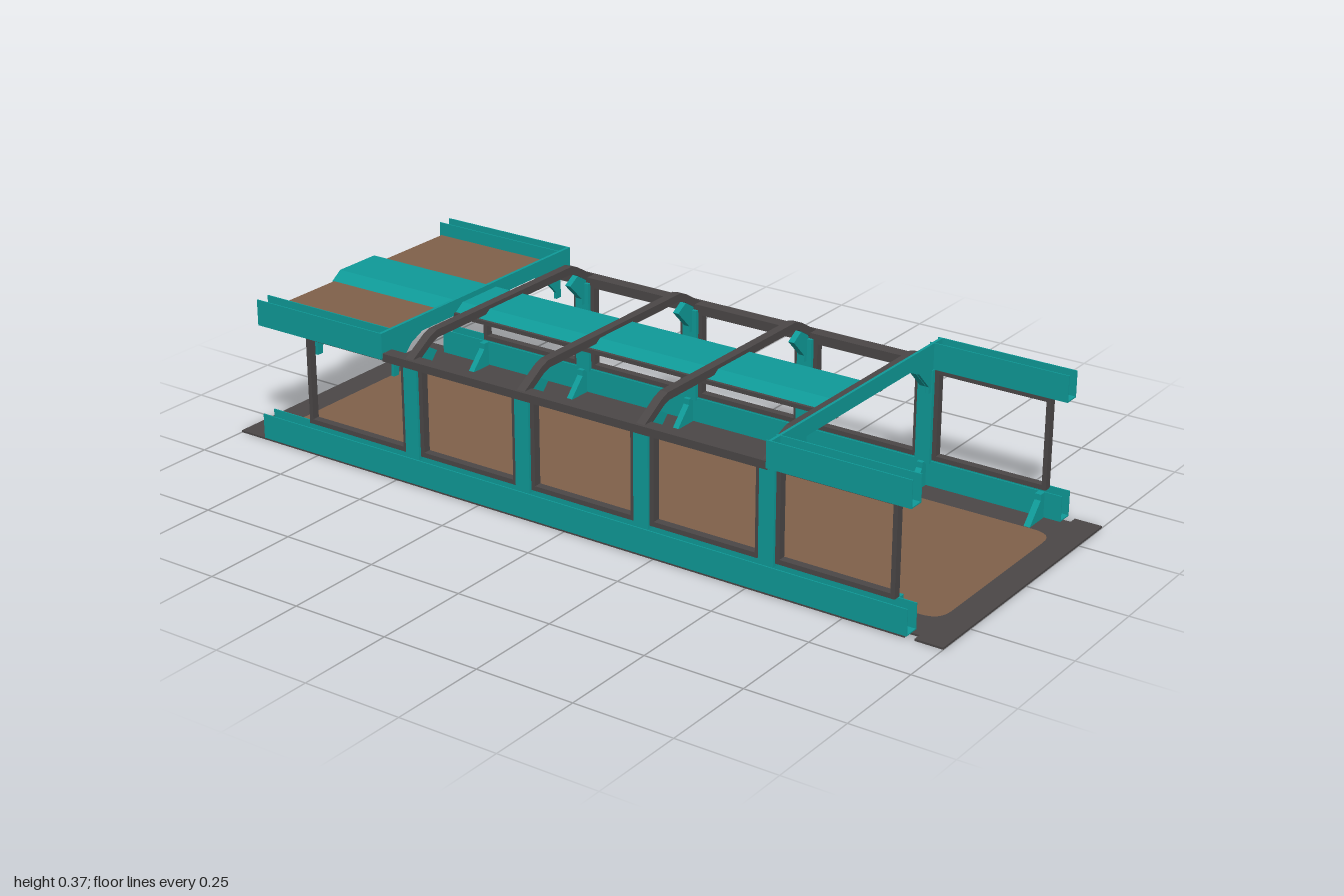
import * as THREE from 'three';

const mat = (name, color) => {
  const m = new THREE.MeshStandardMaterial({ color, side: THREE.DoubleSide });
  m.name = name;
  return m;
};

export function createModel() {
  const group = new THREE.Group();
  const teal = mat('teal', 0x0f9a98);
  const brown = mat('brown', 0x80614a);
  const dark = mat('dark grey', 0x4b4747);

  const add = (name, geo, material) => {
    const m = new THREE.Mesh(geo, material);
    m.name = name;
    group.add(m);
    return m;
  };
  // box given by its limits
  const box = (name, material, x0, x1, y0, y1, z0, z1) => {
    const g = new THREE.BoxGeometry(x1 - x0, y1 - y0, Math.abs(z1 - z0));
    g.translate((x0 + x1) / 2, (y0 + y1) / 2, (z0 + z1) / 2);
    return add(name, g, material);
  };
  // [z, y] section extruded from x0 to x1
  const section = (name, material, pts, x0, x1) => {
    const s = new THREE.Shape(pts.map(p => new THREE.Vector2(p[0], p[1])));
    const g = new THREE.ExtrudeGeometry(s, { depth: x1 - x0, bevelEnabled: false });
    g.rotateY(-Math.PI / 2);
    g.translate(x1, 0, 0);
    return add(name, g, material);
  };
  const mirrorPath = half => [...half, ...half.map(([z, y]) => [-z, y]).reverse()];

  // floor: brown rounded panel inside a dark border
  const roundedRect = (P, a, b, r) => {
    const p = new P();
    p.moveTo(-a + r, -b);
    p.lineTo(a - r, -b); p.quadraticCurveTo(a, -b, a, -b + r);
    p.lineTo(a, b - r); p.quadraticCurveTo(a, b, a - r, b);
    p.lineTo(-a + r, b); p.quadraticCurveTo(-a, b, -a, b - r);
    p.lineTo(-a, -b + r); p.quadraticCurveTo(-a, -b, -a + r, -b);
    return p;
  };
  const flat = s => new THREE.ExtrudeGeometry(s, { depth: 0.005, bevelEnabled: false, curveSegments: 6 }).rotateX(-Math.PI / 2);
  const border = new THREE.Shape([
    [-1, -0.366], [0.905, -0.366], [0.905, -0.345], [0.93, -0.345], [0.93, -0.366], [1, -0.366],
    [1, 0.366], [0.93, 0.366], [0.93, 0.345], [0.905, 0.345], [0.905, 0.366], [-1, 0.366],
  ].map(p => new THREE.Vector2(...p)));
  border.holes.push(roundedRect(THREE.Path, 0.93, 0.26, 0.05));
  add('floorBorder', flat(border), dark);
  add('floorPanel', flat(roundedRect(THREE.Shape, 0.93, 0.26, 0.05)), brown);

  const posts = [-0.455, -0.125, 0.21, 0.545];
  const ends = [-0.775, 0.86];

  for (const s of [1, -1]) {
    // open-topped channels along the bottom and the ends of the top
    const channel = (name, x0, x1, y0, y1) => {
      const t = 0.003, a = 0.328, b = 0.369;
      section(name, teal, [[a, y1], [a, y0], [b, y0], [b, y1], [b - t, y1], [b - t, y0 + t], [a + t, y0 + t], [a + t, y1]]
        .map(([z, y]) => [z * s, y]), x0, x1);
    };
    channel('bottomChannel', -0.92, 0.912, 0.006, 0.07);
    channel('topChannelRight', -0.92, -0.53, 0.304, 0.37);
    channel('topChannelLeft', 0.55, 0.912, 0.304, 0.37);

    // roof edge rail
    box('topRail', dark, -0.53, 0.55, 0.298, 0.318, s * 0.33, s * 0.364);

    // wall posts
    for (const x of posts) box('post', teal, x - 0.02, x + 0.02, 0.065, 0.304, s * 0.321, s * 0.356);

    // window frames between the posts
    const stops = [ends[0] - 0.03, ...posts, ends[1] + 0.03];
    for (let i = 0; i < stops.length - 1; i++) {
      const a = stops[i] + 0.021, b = stops[i + 1] - 0.021, z0 = s * 0.33, z1 = s * 0.35, t = 0.011;
      box('windowSideBar', dark, a, a + t, 0.073, 0.305, z0, z1);
      box('windowSideBar', dark, b - t, b, 0.073, 0.305, z0, z1);
      box('windowSill', dark, a + t, b - t, 0.073, 0.085, z0, z1);
      box('windowHead', dark, a + t, b - t, 0.293, 0.305, z0, z1);
    }

    // corner gussets at floor and roof
    const low = [[0.328, 0.005], [0.262, 0.005], [0.31, 0.055], [0.31, 0.07], [0.328, 0.07]];
    const high = [[0.328, 0.248], [0.31, 0.248], [0.31, 0.265], [0.262, 0.313], [0.3, 0.335], [0.328, 0.32]];
    for (const x of [...posts, ...ends])
      section('floorGusset', teal, low.map(([z, y]) => [z * s, y]), x - 0.008, x + 0.008);
    for (const x of [...posts, ends[0]])
      section('roofGusset', teal, high.map(([z, y]) => [z * s, y]), x - 0.008, x + 0.008);

    // dark edging of the central roof strip
    box('stripEdge', dark, -0.53, 0.56, 0.328, 0.338, s * 0.09, s * 0.1);
  }

  // bent ribs over the roof
  const outer = [[0.362, 0.3], [0.355, 0.318], [0.29, 0.357], [0.265, 0.366]];
  const inner = [[0.33, 0.3], [0.33, 0.31], [0.282, 0.339], [0.26, 0.346]];
  const rib = [...mirrorPath(outer), ...mirrorPath(inner).reverse()];
  for (const x of posts) section('roofRib', dark, rib, x - 0.011, x + 0.011);

  // full-width arches closing both ends of the open bay
  const arch = [
    ...mirrorPath([[0.369, 0.32], [0.369, 0.37]]),
    ...mirrorPath([[0.328, 0.32], [0.328, 0.248], [0.31, 0.248], [0.31, 0.265], [0.262, 0.313], [0.22, 0.331]]).reverse(),
  ];
  section('endArch', teal, arch, -0.535, -0.527);
  section('endArch', teal, arch, 0.555, 0.562);

  // raised central roof strip and the side ceiling panels
  const strip = [
    ...mirrorPath([[0.095, 0.336], [0.065, 0.356]]),
    ...mirrorPath([[0.095, 0.332], [0.065, 0.352]]).reverse(),
  ];
  section('roofStrip', teal, strip, -0.92, 0.556);
  for (const s of [1, -1]) box('ceilingPanel', brown, -0.915, -0.53, 0.332, 0.336, s * 0.095, s * 0.335);

  return group;
}
